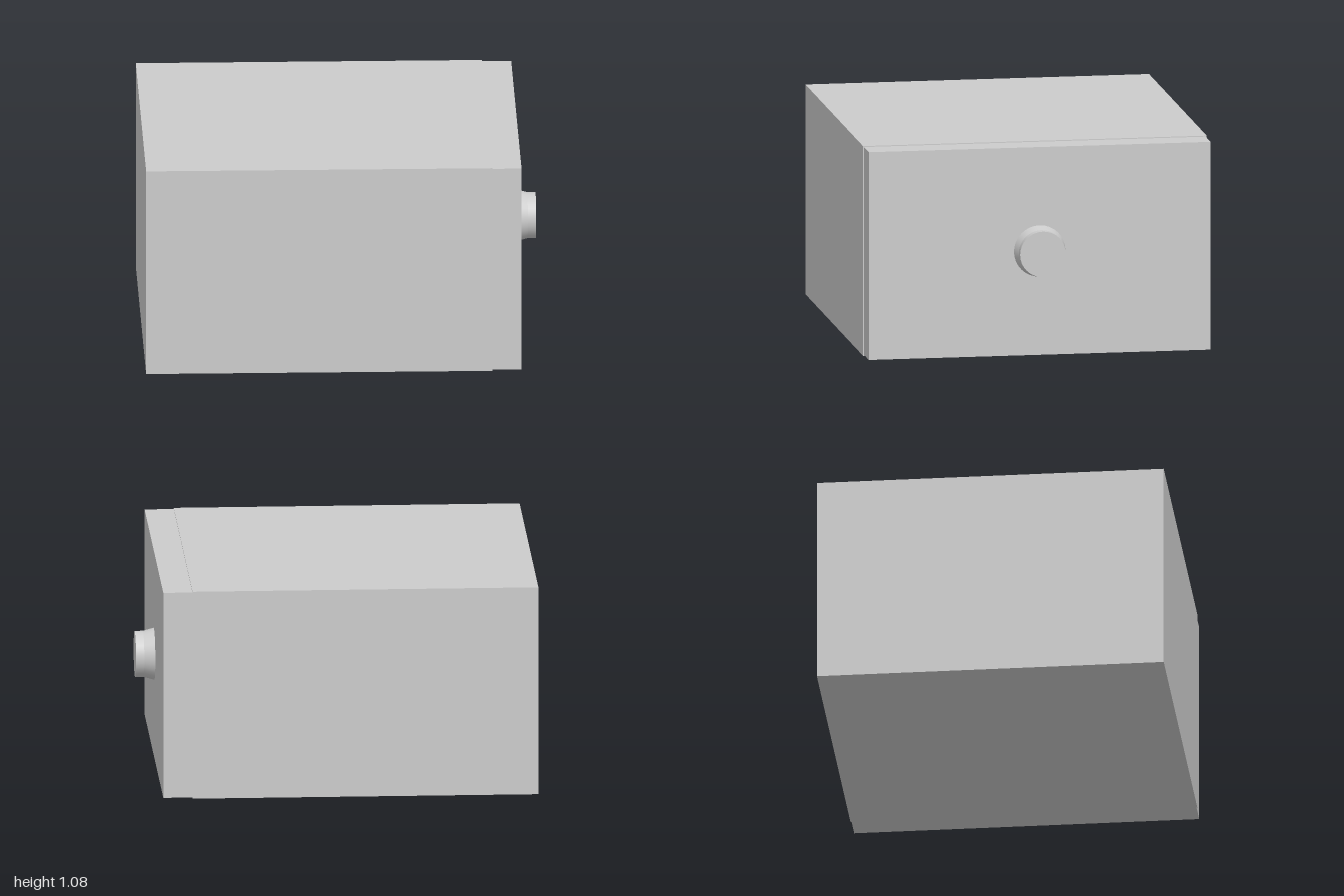
import * as THREE from 'three';

export function createModel() {
  const group = new THREE.Group();
  const material = new THREE.MeshStandardMaterial({ color: 0xcccccc });
  const midY = 0.54;

  function add(name, geometry, x) {
    const mesh = new THREE.Mesh(geometry, material);
    mesh.name = name;
    mesh.position.set(x, midY, 0);
    group.add(mesh);
    return mesh;
  }

  // Main cabinet and the slightly smaller front panel on its left side
  add('cabinet', new THREE.BoxGeometry(1.755, 1.08, 1.766), -0.1225);
  add('drawerFront', new THREE.BoxGeometry(0.15, 1.07, 1.756), 0.828);

  // Round knob: flared foot, straight neck and flat cap, turned to point along +x
  const knob = new THREE.Group();
  knob.name = 'knob';
  knob.position.set(0.9, midY, 0);
  knob.rotation.z = -Math.PI / 2;
  const profiles = {
    knobFoot: [[0.133, 0], [0.126, 0.025], [0.117, 0.058]],
    knobNeck: [[0.117, 0.058], [0.117, 0.1]],
    knobCap: [[0.117, 0.1], [0, 0.1]],
  };
  for (const [name, points] of Object.entries(profiles)) {
    const profile = points.map(([r, h]) => new THREE.Vector2(r, h));
    const mesh = new THREE.Mesh(new THREE.LatheGeometry(profile, 32), material);
    mesh.name = name;
    knob.add(mesh);
  }
  group.add(knob);

  return group;
}
